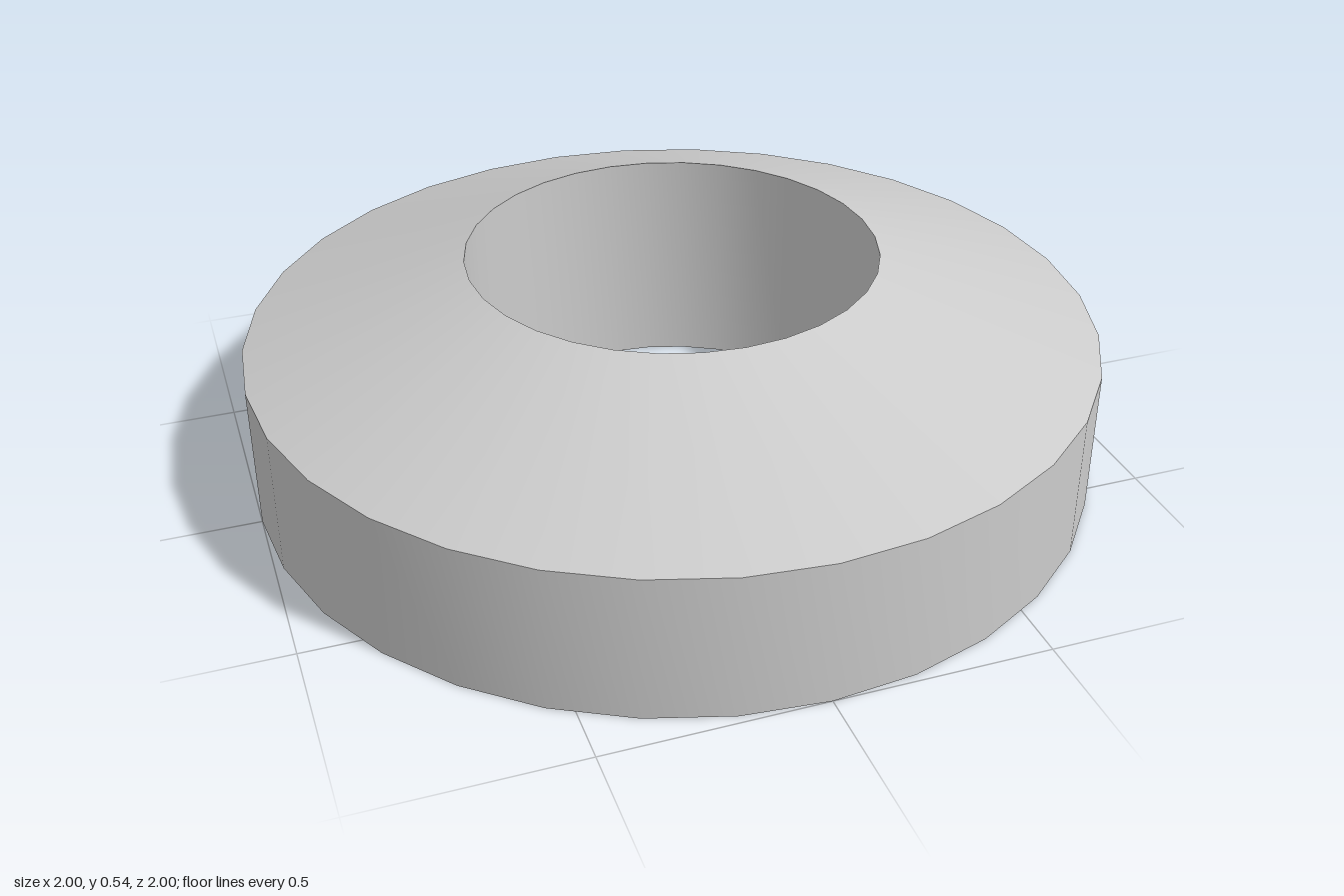
import * as THREE from 'three';
import { toCreasedNormals } from 'three/addons/utils/BufferGeometryUtils.js';

const SIDES = 32;
const OUTER = 1, INNER = 0.48;        // radii
const RIM = 0.345, TOP = 0.54;        // heights of the outer wall and the bore

export function createModel() {
  const group = new THREE.Group();
  group.name = 'conicalWasher';

  // Closed section: flat base, outer wall, sloping top, bore
  const section = [
    [INNER, 0], [OUTER, 0], [OUTER, RIM], [INNER, TOP], [INNER, 0],
  ].map(([r, y]) => new THREE.Vector2(r, y));

  // Smooth around the ring, sharp at the section's corners
  const geometry = toCreasedNormals(new THREE.LatheGeometry(section, SIDES), 0.3);
  const ring = new THREE.Mesh(geometry, new THREE.MeshStandardMaterial({ color: 0xcccccc }));
  ring.name = 'ring';
  group.add(ring);
  return group;
}
